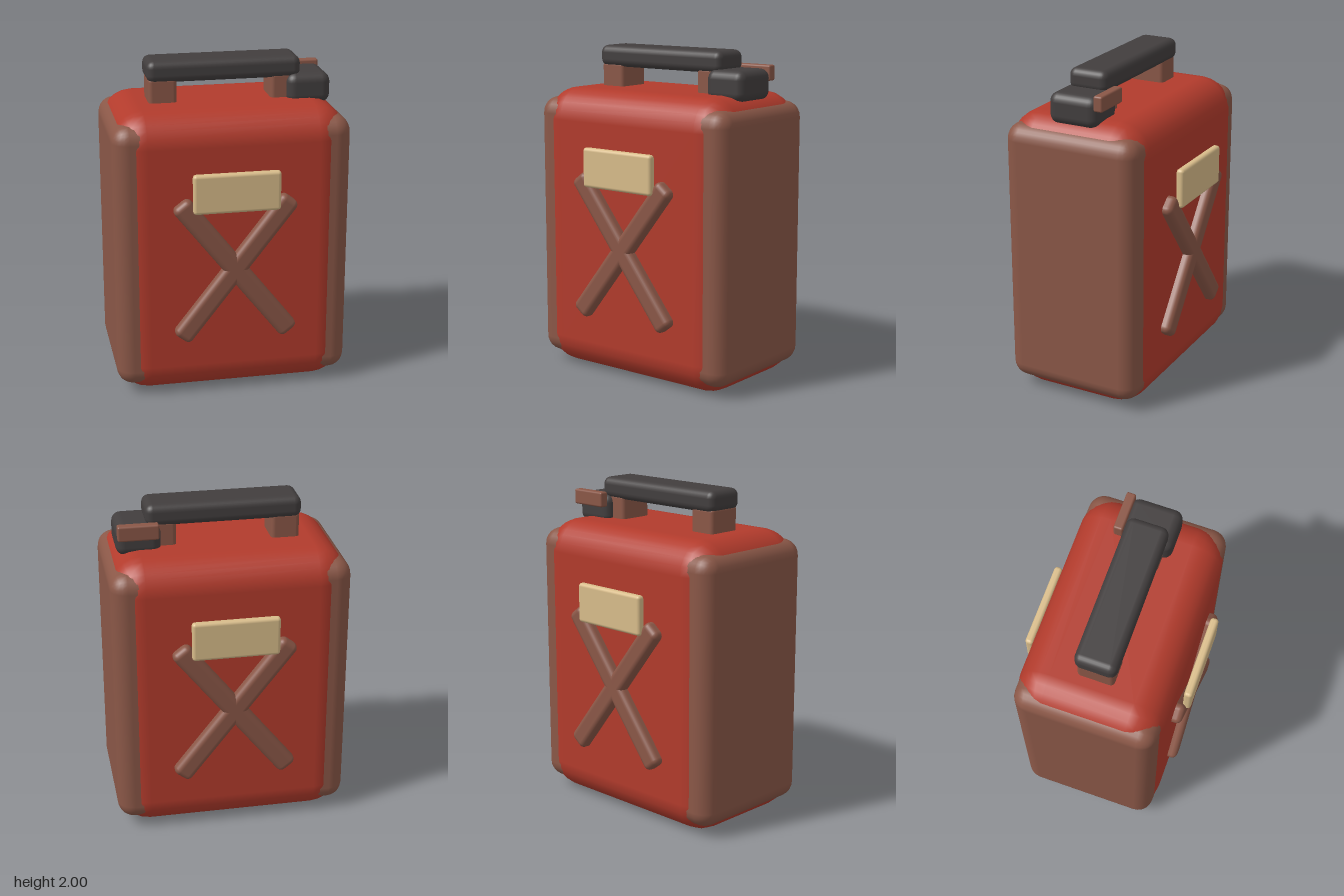
import * as THREE from 'three';
import { RoundedBoxGeometry } from 'three/addons/geometries/RoundedBoxGeometry.js';

export function createModel() {
  const model = new THREE.Group();
  model.name = 'fuelCan';

  const material = (name, color) => {
    const m = new THREE.MeshStandardMaterial({ color });
    m.name = name;
    return m;
  };
  const red = material('red paint', 0xb23b2c);
  const brown = material('brown trim', 0x8a5747);
  const cream = material('cream label', 0xd8bc8a);
  const dark = material('dark grip', 0x423e3e);

  // Rounded box given by its min and max corners
  function block(name, mat, min, max, radius, segments = 3) {
    const size = max.map((v, i) => v - min[i]);
    const mesh = new THREE.Mesh(new RoundedBoxGeometry(...size, segments, radius), mat);
    mesh.position.set(...max.map((v, i) => (v + min[i]) / 2));
    mesh.name = name;
    model.add(mesh);
    return mesh;
  }

  // Tank bulges through the frame at the front, back, top and bottom
  block('tank', red, [-0.7, 0, -0.44], [0.7, 1.75, 0.44], 0.19);
  block('frame', brown, [-0.71, 0.06, -0.428], [0.71, 1.69, 0.428], 0.1);

  // Crossed ribs and label on both broad sides
  for (const side of [1, -1]) {
    const face = side > 0 ? 'front' : 'back';
    for (const lean of [1, -1]) {
      const rib = block(face + 'Rib', brown, [-0.54, 0.748, -0.06], [0.54, 0.873, 0.06], 0.035);
      rib.position.z = side * 0.438;
      rib.rotation.z = lean * THREE.MathUtils.degToRad(52);
    }
    const label = block(face + 'Label', cream, [-0.26, 1.18, -0.025], [0.26, 1.42, 0.025], 0.02);
    label.position.z = side * 0.495;
  }

  // Carrying handle on two posts
  for (const side of [1, -1]) {
    const post = block('handlePost', brown, [-0.085, 1.65, -0.11], [0.085, 1.9, 0.11], 0.025);
    post.position.x = side * 0.368;
  }
  block('handleGrip', dark, [-0.463, 1.87, -0.125], [0.463, 2, 0.125], 0.045);

  // Spout cap with its latch
  block('spoutCap', dark, [0.376, 1.71, -0.157], [0.642, 1.895, 0.157], 0.055);
  block('capLatch', brown, [0.393, 1.82, -0.195], [0.636, 1.913, -0.138], 0.012);

  return model;
}
